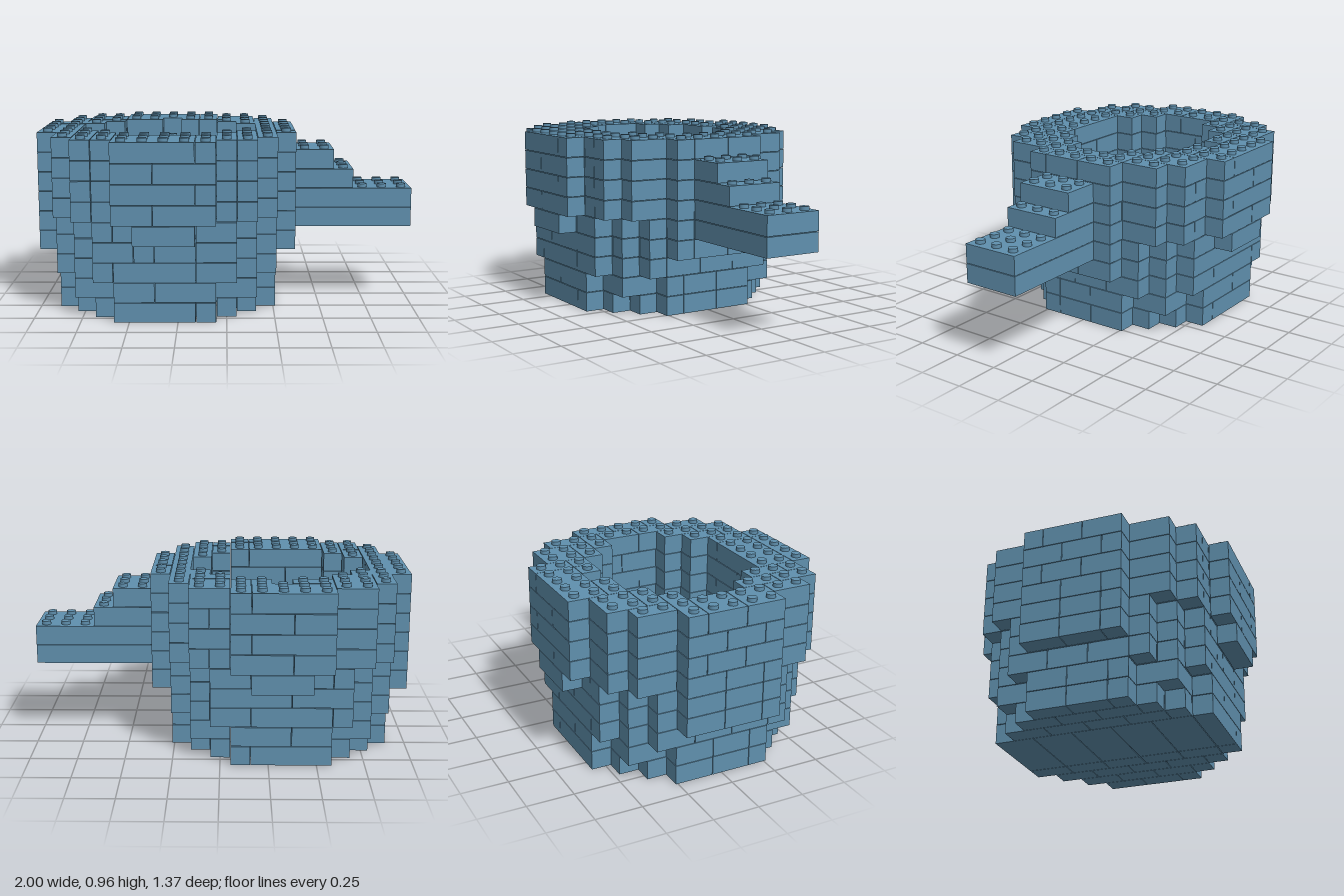
import * as THREE from 'three';
import { mergeGeometries } from 'three/addons/utils/BufferGeometryUtils.js';

const U = 2 / 19;        // one stud pitch
const H = 0.105;         // brick height
const GAP = 0.003;       // seam between bricks
const COLS = 19, ROWS = 13, MID = 6;

// Half widths of the rows, from the middle row outwards (width = 2 * half + 1)
const OUTER = [
  [5, 5, 5, 4, 3, 2],
  [5, 5, 5, 4, 4, 2],
  [5, 5, 5, 5, 4, 3],
  [6, 6, 6, 5, 4, 3],
  [6, 6, 6, 5, 4, 3, 1],
  [6, 6, 6, 5, 5, 4, 2],
  [6, 6, 6, 5, 5, 4, 2],
  [6, 6, 6, 5, 5, 4, 2],
  [6, 6, 6, 5, 5, 4, 2],
];
// Hollow inside, stepping inwards towards the floor
const INNER = [
  [], [],
  [3, 3, 2],
  [3, 3, 3, 1],
  [4, 3, 3, 2],
  [4, 4, 3, 2],
  [4, 4, 3, 2],
  [4, 4, 3, 2],
  [4, 4, 3, 2],
];
// Last column of the stepped arm on each layer
const ARM_END = { 4: 18, 5: 18, 6: 15, 7: 14 };

const inDisc = (rows, c, r) => {
  const half = rows[Math.abs(r - MID)];
  return half !== undefined && Math.abs(c - MID) <= half;
};

// Which part fills a cell: 'pot', 'arm' or null
function cell(layer, c, r) {
  if (layer > 8) return null;
  if (c > 12) return Math.abs(r - MID) <= 1 && c <= (ARM_END[layer] ?? 0) ? 'arm' : null;
  if (layer === 8 && c === 6 && r === 2) return null; // notch in the rim
  return inDisc(OUTER[layer], c, r) && !inDisc(INNER[layer], c, r) ? 'pot' : null;
}

const xAt = (c) => -1 + c * U;
const zAt = (r) => (r - ROWS / 2) * U;

// Cover one layer of a part with bricks as large as fit
function layBricks(part, layer, out) {
  const used = new Set();
  const free = (c, r) => c < COLS && r < ROWS && cell(layer, c, r) === part && !used.has(r * COLS + c);
  const maxW = part === 'arm' ? 6 : layer < 2 ? 8 : 4;
  const maxD = part === 'arm' ? 3 : 2;
  for (let r = 0; r < ROWS; r++) {
    for (let c = 0; c < COLS; c++) {
      if (!free(c, r)) continue;
      let w = 1, d = 1;
      // staggered seams on alternate layers
      while (w < maxW && free(c + w, r) && (part === 'arm' || (c + w + 2 * (layer % 2)) % maxW !== 0)) w++;
      const rowFree = (row) => {
        for (let i = 0; i < w; i++) if (!free(c + i, row)) return false;
        return true;
      };
      while (d < maxD && rowFree(r + d)) d++;
      for (let j = 0; j < d; j++) for (let i = 0; i < w; i++) used.add((r + j) * COLS + c + i);
      const g = new THREE.BoxGeometry(w * U - GAP, H - GAP, d * U - GAP);
      g.translate(xAt(c + w / 2), (layer + 0.5) * H, zAt(r + d / 2));
      out.push(g);
    }
  }
}

// Studs on every brick top left open
function layStuds(part, layer, out) {
  for (let r = 0; r < ROWS; r++) {
    for (let c = 0; c < COLS; c++) {
      if (cell(layer, c, r) !== part || cell(layer + 1, c, r)) continue;
      const g = new THREE.CylinderGeometry(0.0245, 0.0245, 0.02, 16);
      g.translate(xAt(c + 0.5), (layer + 1) * H + 0.008, zAt(r + 0.5));
      out.push(g);
    }
  }
}

export function createModel() {
  const blue = new THREE.MeshStandardMaterial({ color: 0x6090ae });
  blue.name = 'sandBlue';
  const model = new THREE.Group();
  model.name = 'brickPot';
  for (const part of ['pot', 'arm']) {
    const group = new THREE.Group();
    group.name = part;
    const studs = [];
    for (let layer = 0; layer < 9; layer++) {
      const bricks = [];
      layBricks(part, layer, bricks);
      layStuds(part, layer, studs);
      if (!bricks.length) continue;
      const mesh = new THREE.Mesh(mergeGeometries(bricks), blue);
      mesh.name = `${part}Layer${layer + 1}`;
      group.add(mesh);
    }
    const studMesh = new THREE.Mesh(mergeGeometries(studs), blue);
    studMesh.name = `${part}Studs`;
    group.add(studMesh);
    model.add(group);
  }
  return model;
}
